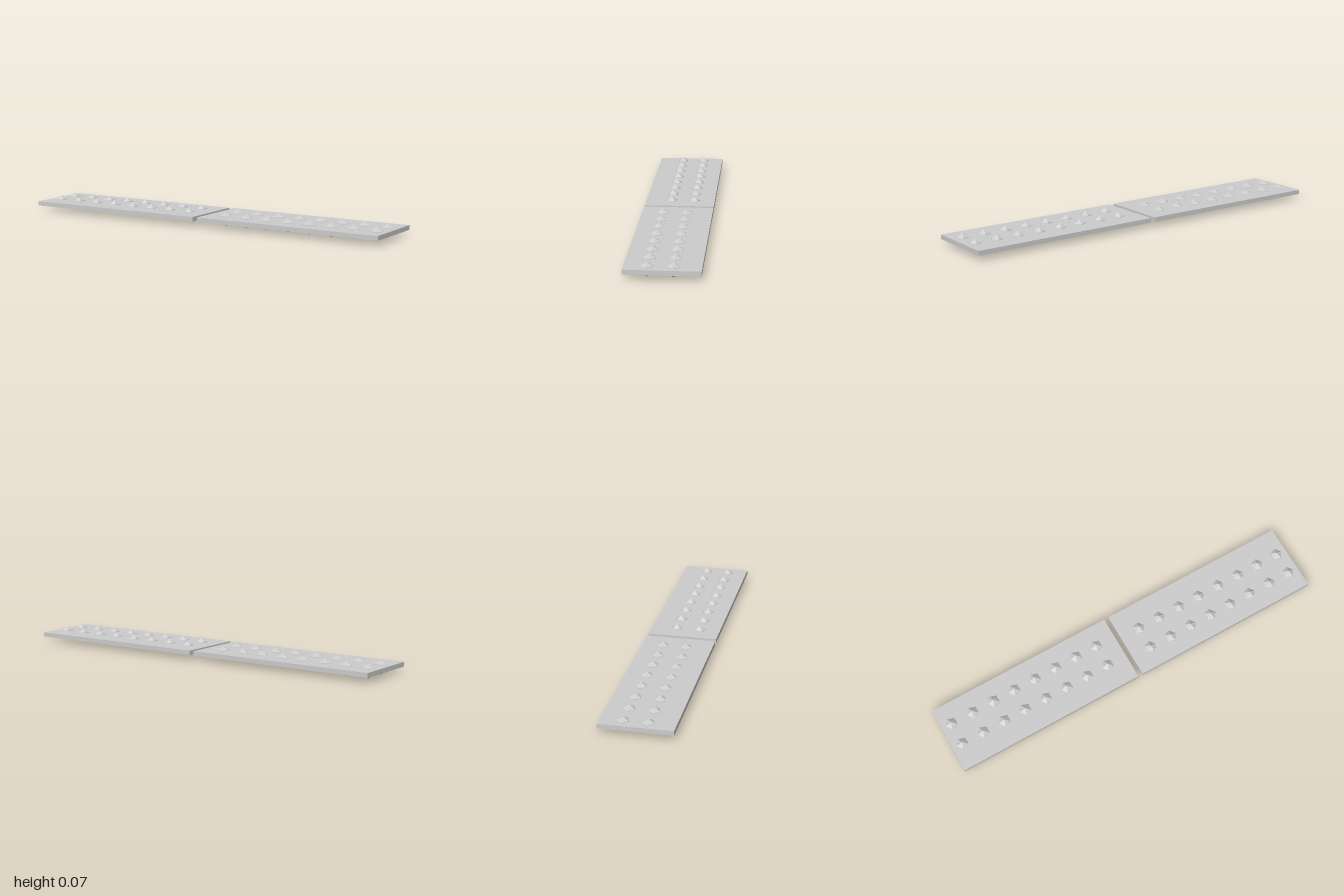
import * as THREE from 'three';

const PLATE = { inner: 0.0125, outer: 1, depth: 0.352, bottom: 0.025, height: 0.023 };
const STUD = { radius: 0.035, count: 8, firstX: 0.118, step: 0.118, rows: [-0.048, 0.07] };

export function createModel() {
  const grey = new THREE.MeshStandardMaterial({ color: 0xcccccc, flatShading: true });
  grey.name = 'light grey';

  const length = PLATE.outer - PLATE.inner;
  const plateGeometry = new THREE.BoxGeometry(length, PLATE.height, PLATE.depth);

  // Icosahedron tipped so that one corner points straight up
  const studGeometry = new THREE.IcosahedronGeometry(STUD.radius, 0);
  studGeometry.rotateZ(-Math.atan(2 / (1 + Math.sqrt(5))));

  // One plate with two rows of studs poking through both faces
  function studdedPlate(name) {
    const group = new THREE.Group();
    group.name = name;

    const plate = new THREE.Mesh(plateGeometry, grey);
    plate.name = 'plate';
    plate.position.set(PLATE.inner + length / 2, PLATE.bottom + PLATE.height / 2, 0);
    group.add(plate);

    for (const z of STUD.rows) {
      for (let i = 0; i < STUD.count; i++) {
        const stud = new THREE.Mesh(studGeometry, grey);
        stud.name = 'stud';
        stud.position.set(STUD.firstX + i * STUD.step, STUD.radius, z);
        group.add(stud);
      }
    }
    return group;
  }

  const model = new THREE.Group();
  model.name = 'studdedPlates';

  // The second plate is the first one turned half round
  const left = studdedPlate('leftPlate');
  const right = studdedPlate('rightPlate');
  right.rotation.y = Math.PI;
  model.add(left, right);
  return model;
}
